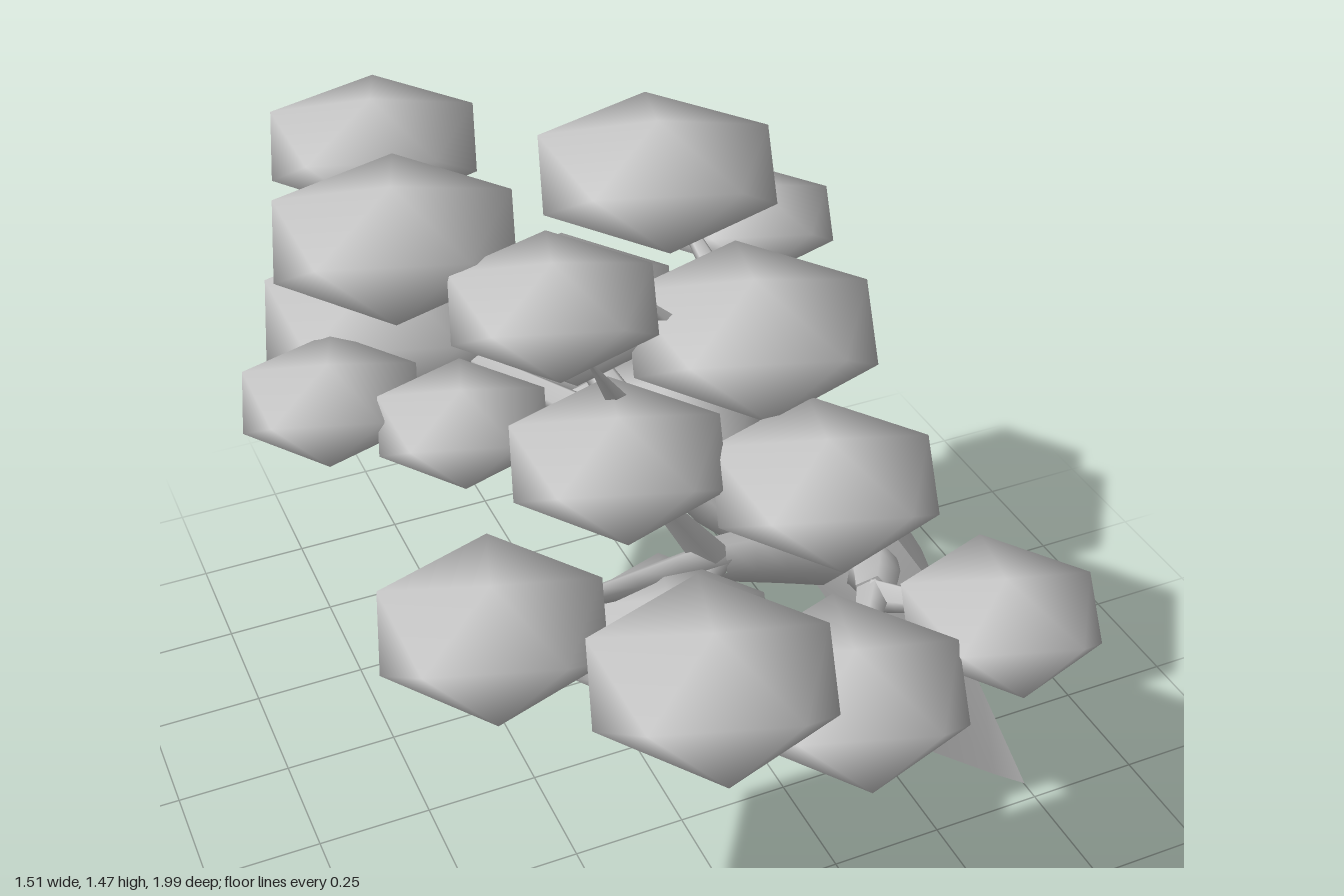
import * as THREE from 'three';
import { mergeVertices } from 'three/addons/utils/BufferGeometryUtils.js';

const grey = new THREE.MeshStandardMaterial({ color: 0xcccccc });
grey.name = 'clayGrey';

const FLATNESS = 0.44; // pad half height over radius

// Foliage pads: x, y, z, radius
const pads = {
  backHigh: [-0.28, 1.225, -0.78, 0.23],
  backLow: [-0.37, 0.985, -0.47, 0.265],
  crownBack: [0.235, 1.22, -0.43, 0.26],
  crownMiddle: [0.23, 1.105, 0.045, 0.255],
  sideBack: [0.525, 0.975, -0.55, 0.19],
  topLarge: [-0.43, 1.365, -0.15, 0.237],
  topSmall: [-0.24, 1.355, 0.175, 0.195],
  centre: [-0.07, 1.1, -0.18, 0.22],
  lowBack: [0.17, 0.77, -0.54, 0.25],
  lowMiddle: [0.14, 0.785, -0.15, 0.21],
  frontMiddle: [0.185, 1.02, 0.45, 0.217],
  frontInner: [-0.16, 1.06, 0.28, 0.208],
  farSide: [-0.575, 1.01, -0.19, 0.18],
  farInner: [-0.37, 1.025, 0.01, 0.17],
  farFront: [-0.475, 0.885, 0.44, 0.215],
  frontTip: [-0.2, 0.95, 0.782, 0.222],
  lowFront: [0.11, 0.76, 0.73, 0.22],
  lowCorner: [0.475, 0.755, 0.652, 0.195],
  lowInner: [-0.12, 0.73, 0.43, 0.2],
};

// Unit pad: icosahedron standing on a pole, ring radius 1 and half height 1
function padGeometry() {
  let g = new THREE.IcosahedronGeometry(1, 0);
  g.deleteAttribute('normal');
  g.deleteAttribute('uv');
  g = mergeVertices(g, 1e-3);
  const pole = new THREE.Vector3(0, 1, (1 + Math.sqrt(5)) / 2).normalize();
  g.applyQuaternion(new THREE.Quaternion().setFromUnitVectors(pole, new THREE.Vector3(0, 1, 0)));
  // Turn the rings so that an upper corner points to +x
  const p = g.attributes.position;
  for (let i = 0; i < p.count; i++) {
    if (p.getY(i) > 0.3 && p.getY(i) < 0.6) {
      g.rotateY(Math.atan2(p.getZ(i), p.getX(i)));
      break;
    }
  }
  g.scale(1 / 0.894, 1, 1 / 0.894);
  // Soft round normals that survive the flattening
  g.computeVertexNormals();
  const n = g.attributes.normal;
  for (let i = 0; i < n.count; i++) n.setY(i, n.getY(i) * FLATNESS);
  g.normalizeNormals();
  return g;
}

// Trunk: blade-thin foot that leans and swells, sections [x, y, z, long, thin] from the top down
function trunkGeometry() {
  const rings = [
    [0.295, 0.92, 0.08, 0.05, 0.08],
    [0.36, 0.73, 0.155, 0.11, 0.135],
    [0.445, 0.55, 0.215, 0.15, 0.125],
    [0.555, 0.28, 0.28, 0.145, 0.07],
    [0.665, 0, 0.345, 0.142, 0.006],
  ];
  const g = new THREE.CylinderGeometry(1, 1, 1, 6, 4);
  const p = g.attributes.position;
  for (let i = 0; i < p.count; i++) {
    const [cx, cy, cz, long, thin] = rings[Math.round((0.5 - p.getY(i)) * 4)];
    const a = p.getZ(i) * long, b = p.getX(i) * thin;
    p.setXYZ(i, cx + 0.61 * a + 0.78 * b, cy, cz + 0.78 * a - 0.61 * b);
  }
  g.computeVertexNormals();
  return g;
}

// Limb: a tapering five-sided tube along a curve
function limbGeometry(points, r0, r1) {
  const curve = new THREE.CatmullRomCurve3(points.map((v) => new THREE.Vector3(...v)));
  const segs = 5, sides = 5;
  const g = new THREE.TubeGeometry(curve, segs, 1, sides);
  const p = g.attributes.position;
  const v = new THREE.Vector3();
  for (let i = 0; i < p.count; i++) {
    const t = Math.floor(i / (sides + 1)) / segs;
    const c = curve.getPointAt(t);
    v.fromBufferAttribute(p, i).sub(c).multiplyScalar(r0 + (r1 - r0) * t).add(c);
    p.setXYZ(i, v.x, v.y, v.z);
  }
  return g;
}

export function createModel() {
  const model = new THREE.Group();
  const add = (name, geometry) => {
    const mesh = new THREE.Mesh(geometry, grey);
    mesh.name = name;
    model.add(mesh);
    return mesh;
  };

  add('trunk', trunkGeometry());

  // Limbs: path from inside the trunk to a hub, radii, the pads fed from the hub, and bare twig tips
  const limbs = [
    { name: 'lowLimb', path: [[0.4, 0.61, 0.2], [0.24, 0.67, 0.23], [0.05, 0.74, 0.27]], r: [0.09, 0.045],
      feeds: ['lowInner', 'farFront', 'frontInner'], twigs: [] },
    { name: 'highLimb', path: [[0.36, 0.66, 0.17], [0.16, 0.75, 0.16], [-0.01, 0.92, 0.08]], r: [0.085, 0.05],
      feeds: ['farSide', 'farInner', 'backLow'],
      twigs: [[-0.2, 1.26, 0.24], [-0.1, 1.12, -0.58]] },
    { name: 'crownLimb', path: [[0.37, 0.7, 0.16], [0.33, 0.82, 0.12], [0.3, 0.92, 0.08]], r: [0.08, 0.055],
      feeds: ['crownMiddle', 'frontMiddle', 'centre', 'crownBack'], twigs: [[-0.03, 1.24, 0]] },
    { name: 'backLimb', path: [[0.45, 0.54, 0.18], [0.53, 0.64, 0.04], [0.44, 0.74, -0.2]], r: [0.075, 0.042],
      feeds: ['sideBack', 'lowBack', 'lowMiddle'], twigs: [] },
    { name: 'frontLimb', path: [[0.42, 0.59, 0.2], [0.38, 0.65, 0.34], [0.32, 0.69, 0.44]], r: [0.07, 0.04],
      feeds: ['lowCorner', 'lowFront'], twigs: [] },
  ];
  for (const { name, path, r, feeds, twigs } of limbs) {
    add(name, limbGeometry(path, ...r));
    const hub = path[2];
    const sprout = (label, end) => {
      const mid = hub.map((h, i) => (h + end[i]) / 2);
      add(label, limbGeometry([hub, mid, end], r[1] * 0.9, 0.003));
    };
    for (const feed of feeds) sprout(feed + 'Branch', pads[feed].slice(0, 3));
    for (const tip of twigs) sprout('twig', tip);
  }

  // Foliage
  const padShape = padGeometry();
  for (const [name, [x, y, z, r]] of Object.entries(pads)) {
    const pad = add(name + 'Foliage', padShape);
    pad.position.set(x, y, z);
    pad.scale.set(r, r * FLATNESS, r);
  }
  return model;
}
